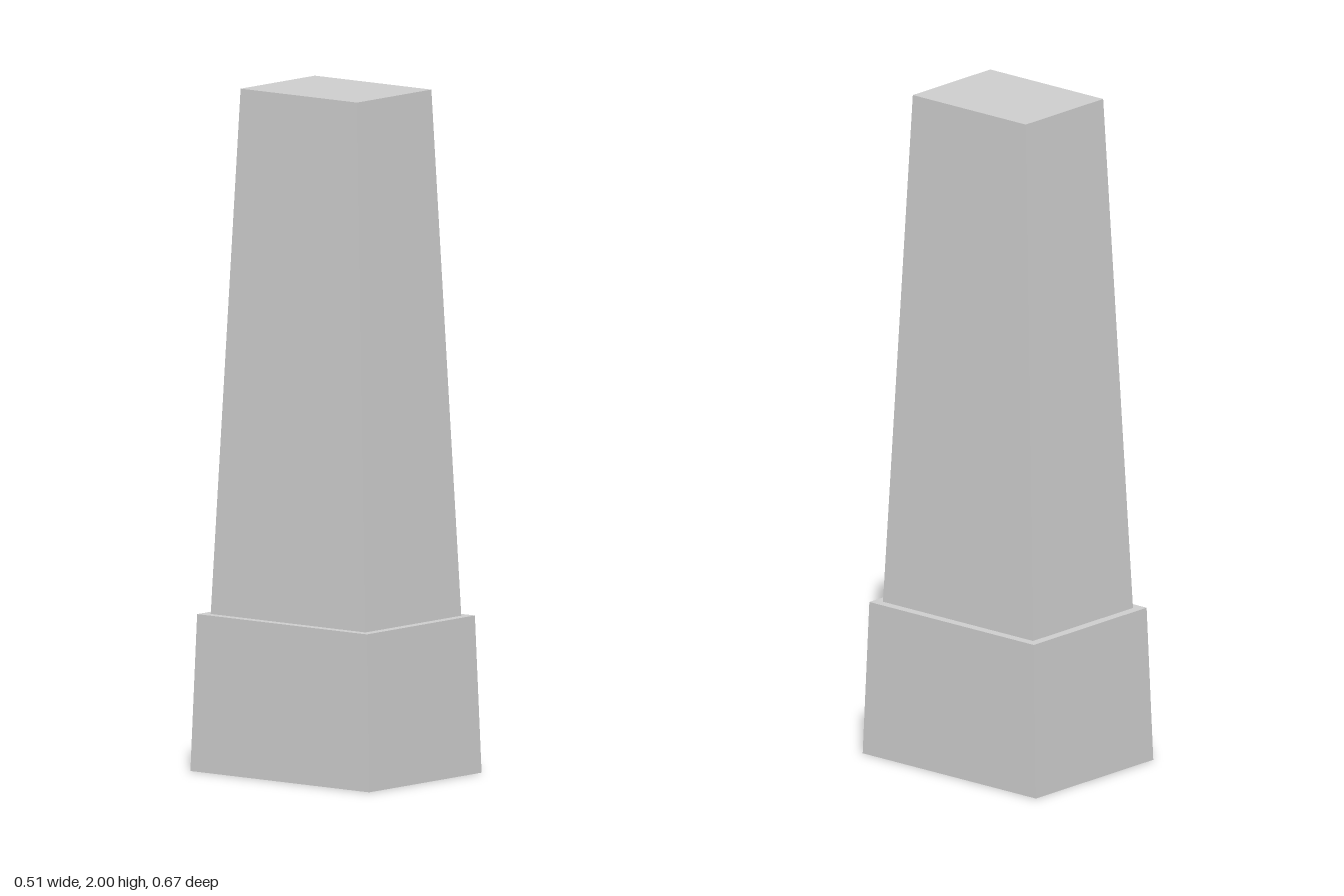
import * as THREE from 'three';

// Skin a stack of rectangular sections [halfWidth, halfDepth, y], open at both ends
function loft(sections) {
  const corners = [[1, 1], [1, -1], [-1, -1], [-1, 1]];
  const at = ([w, d, y], i) => [corners[i % 4][0] * w, y, corners[i % 4][1] * d];
  const points = [];
  for (let s = 0; s < sections.length - 1; s++) {
    for (let i = 0; i < 4; i++) {
      const a = at(sections[s], i), b = at(sections[s], i + 1);
      const c = at(sections[s + 1], i + 1), d = at(sections[s + 1], i);
      points.push(...a, ...b, ...c, ...a, ...c, ...d);
    }
  }
  const geometry = new THREE.BufferGeometry();
  geometry.setAttribute('position', new THREE.Float32BufferAttribute(points, 3));
  geometry.computeVertexNormals();
  return geometry;
}

export function createModel() {
  const group = new THREE.Group();
  const stone = new THREE.MeshStandardMaterial({ color: 0xcccccc, side: THREE.DoubleSide });
  stone.name = 'stone grey';

  const add = (name, geometry) => {
    const mesh = new THREE.Mesh(geometry, stone);
    mesh.name = name;
    group.add(mesh);
    return mesh;
  };

  // Hollow plinth, open underneath, with a narrow ledge around the shaft
  add('plinth', loft([[0.256, 0.336, 0], [0.246, 0.319, 0.46]]));
  add('ledge', loft([[0.246, 0.319, 0.46], [0.218, 0.291, 0.46]]));

  // Tapered shaft and its flat top
  add('shaft', loft([[0.218, 0.291, 0.46], [0.169, 0.219, 2]]));
  const top = add('shaftTop', new THREE.PlaneGeometry(0.338, 0.438));
  top.rotation.x = -Math.PI / 2;
  top.position.y = 2;

  return group;
}
